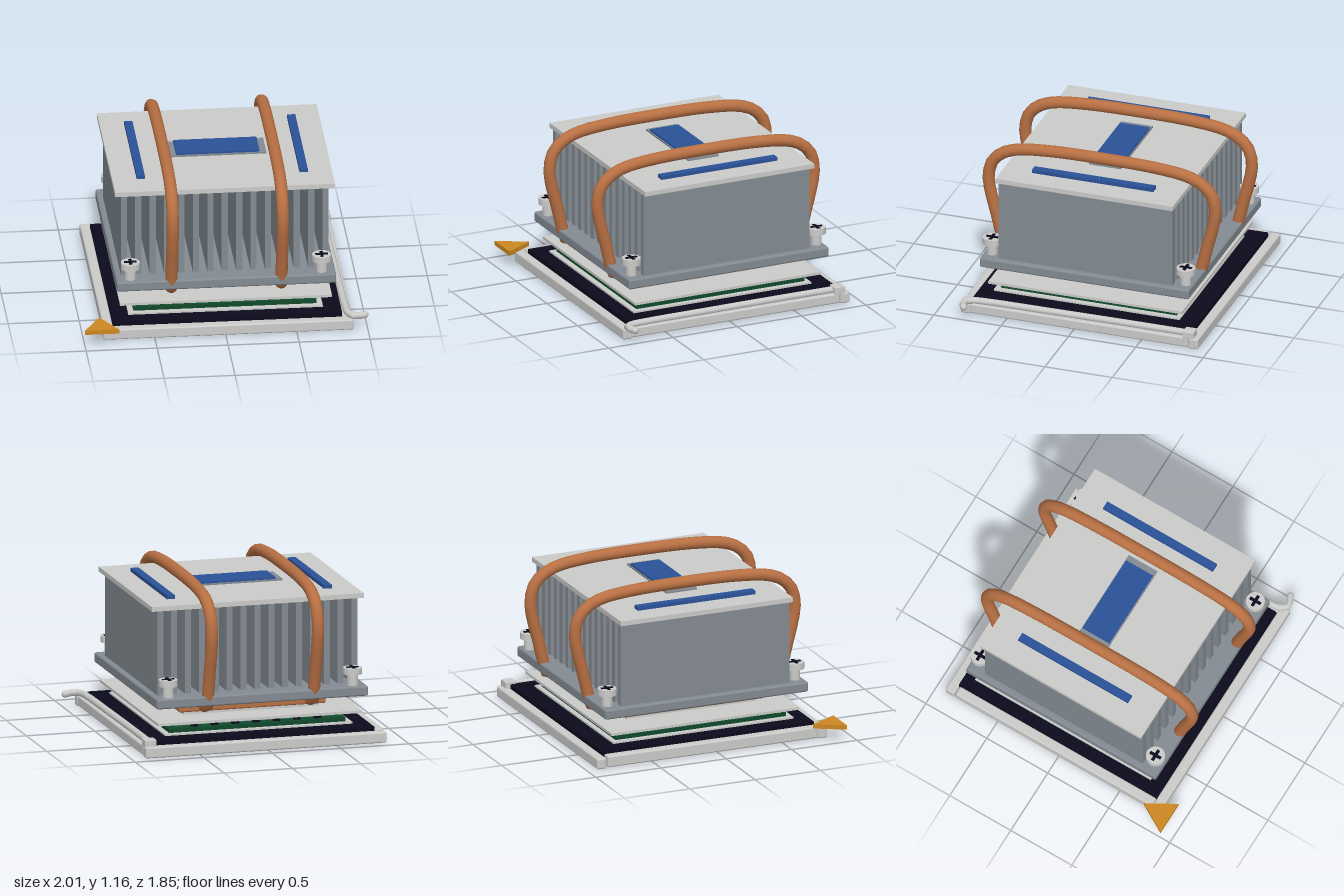
import * as THREE from 'three';
import { RoundedBoxGeometry } from 'three/addons/geometries/RoundedBoxGeometry.js';

const paint = (name, color) => {
  const m = new THREE.MeshStandardMaterial({ color });
  m.name = name;
  return m;
};

export function createModel() {
  const silver = paint('silver', 0xcbcbca);
  const grey = paint('aluminium grey', 0x838b92);
  const copper = paint('copper', 0xb87043);
  const blue = paint('blue', 0x2b5299);
  const gold = paint('gold', 0xcc8822);
  const green = paint('board green', 0x104a2c);
  const black = paint('near black', 0x0a0a1c);

  const model = new THREE.Group();
  model.name = 'processorCooler';

  const add = (name, geometry, material, x = 0, y = 0, z = 0, parent = model) => {
    const mesh = new THREE.Mesh(geometry, material);
    mesh.name = name;
    mesh.position.set(x, y, z);
    parent.add(mesh);
    return mesh;
  };
  // Box given by its limits; a radius rounds the edges
  const block = (name, material, [x0, x1], [y0, y1], [z0, z1], radius = 0) => {
    const size = [x1 - x0, y1 - y0, z1 - z0];
    const geometry = radius
      ? new RoundedBoxGeometry(...size, 2, radius)
      : new THREE.BoxGeometry(...size);
    return add(name, geometry, material, (x0 + x1) / 2, (y0 + y1) / 2, (z0 + z1) / 2);
  };

  // Socket frame around the dark contact field
  block('socketFrontRail', silver, [-0.86, 0.9], [0, 0.078], [0.765, 0.837], 0.012);
  block('socketBackRail', silver, [-0.86, 0.9], [0, 0.078], [-0.925, -0.853], 0.012);
  block('socketLeftRail', silver, [0.826, 0.897], [0.005, 0.078], [-0.85, 0.77], 0.012);
  block('socketRightRail', silver, [-0.86, -0.79], [0.005, 0.088], [-0.845, 0.765], 0.012);
  block('contactField', black, [-0.79, 0.826], [0.008, 0.105], [-0.855, 0.765]);
  block('leverHinge', silver, [0.812, 0.897], [0.07, 0.125], [-0.89, -0.808], 0.006);

  // Locking lever with a hooked handle
  const leverPath = new THREE.CatmullRomCurve3([
    [0.846, 0.095, -0.82], [0.846, 0.095, -0.4], [0.852, 0.095, 0.2], [0.858, 0.095, 0.62],
    [0.872, 0.095, 0.76], [0.91, 0.095, 0.81], [0.985, 0.092, 0.785],
  ].map(p => new THREE.Vector3(...p)));
  add('lockingLever', new THREE.TubeGeometry(leverPath, 40, 0.025, 10), silver);
  for (const t of [0, 1]) {
    const p = leverPath.getPoint(t);
    add('leverEnd', new THREE.SphereGeometry(0.025, 10, 8), silver, p.x, p.y, p.z);
  }

  // Three-sided orientation markers, point toward the back
  const marker = (name, r, h, x, y, z) => {
    const geometry = new THREE.CylinderGeometry(r, r, h, 3).toNonIndexed();
    geometry.rotateY(Math.PI);
    geometry.computeVertexNormals();
    add(name, geometry, gold, x, y, z);
  };
  marker('socketMarker', 0.14, 0.032, -0.88, 0.105, 0.855);
  marker('chipMarker', 0.087, 0.02, -0.56, 0.155, 0.537);

  // Processor stack
  block('loadPlate', silver, [-0.67, 0.7], [0.103, 0.117], [-0.72, 0.66]);
  block('circuitBoard', green, [-0.63, 0.66], [0.117, 0.146], [-0.685, 0.62]);
  block('heatSpreader', grey, [-0.545, 0.577], [0.146, 0.187], [-0.6, 0.52]);
  block('retentionPlate', silver, [-0.73, 0.762], [0.187, 0.206], [-0.76, 0.68]);
  block('thermalPad', silver, [-0.48, 0.51], [0.206, 0.23], [-0.535, 0.46]);
  block('copperBlock', copper, [-0.52, 0.553], [0.23, 0.318], [-0.575, 0.5], 0.012);

  // Small capacitors along the board edges
  for (let i = -3; i <= 3; i++) {
    const cap = (x, z, w, d) =>
      add('capacitor', new THREE.BoxGeometry(w, 0.014, d), black, x, 0.153, z);
    for (const z of [0.58, -0.645]) cap(0.015 + i * 0.15, z, 0.05, 0.03);
    for (const x of [0.62, -0.59]) cap(x, -0.033 + i * 0.15, 0.03, 0.05);
  }

  // Heat sink: base, fins and cover
  block('sinkBase', grey, [-0.758, 0.788], [0.32, 0.393], [-0.818, 0.737], 0.014);
  for (let i = 0; i < 15; i++) {
    const x = -0.695 + i * 0.1014;
    block('fin', grey, [x - 0.022, x + 0.022], [0.388, 1.002], [-0.685, 0.607]);
  }
  block('coverPlate', silver, [-0.758, 0.79], [1.0, 1.034], [-0.7, 0.616]);
  block('badgePlate', grey, [-0.325, 0.36], [1.034, 1.046], [-0.162, 0.073]);
  block('badge', blue, [-0.275, 0.312], [1.046, 1.06], [-0.155, 0.065]);
  for (const x of [-0.557, 0.59]) {
    block('accentStrip', blue, [x - 0.029, x + 0.029], [1.034, 1.06], [-0.495, 0.405]);
  }

  // Heat pipes: half profile (distance from middle, height), mirrored front to back
  const half = [
    [0.655, 0.297], [0.715, 0.31], [0.745, 0.4], [0.778, 0.54], [0.82, 0.7], [0.842, 0.84],
    [0.815, 0.963], [0.745, 1.037], [0.64, 1.083], [0.4, 1.112],
  ];
  const arc = [...half, [0, 1.12], ...half.map(([d, y]) => [-d, y]).reverse()];
  const pipePath = new THREE.CatmullRomCurve3(arc.map(([d, y]) => new THREE.Vector3(0, y, d - 0.04)));
  for (const x of [-0.37, 0.405]) {
    const pipe = new THREE.Group();
    pipe.name = 'heatPipe';
    pipe.position.x = x;
    model.add(pipe);
    add('pipeBend', new THREE.TubeGeometry(pipePath, 48, 0.043, 14), copper, 0, 0, 0, pipe);
    for (const t of [0, 1]) {
      const p = pipePath.getPoint(t);
      add('pipeEnd', new THREE.SphereGeometry(0.043, 14, 10), copper, 0, p.y, p.z, pipe);
    }
  }

  // Corner screws with cross slots
  for (const x of [-0.657, 0.69]) for (const z of [-0.763, 0.675]) {
    const screw = new THREE.Group();
    screw.name = 'screw';
    screw.position.set(x, 0, z);
    model.add(screw);
    add('screwShaft', new THREE.CylinderGeometry(0.038, 0.038, 0.1, 20), silver, 0, 0.43, 0, screw);
    add('screwHead', new THREE.CylinderGeometry(0.067, 0.067, 0.046, 28), silver, 0, 0.498, 0, screw);
    add('crossSlot', new THREE.BoxGeometry(0.088, 0.006, 0.022), black, 0, 0.523, 0, screw);
    add('crossSlot', new THREE.BoxGeometry(0.022, 0.006, 0.088), black, 0, 0.523, 0, screw);
  }

  return model;
}
